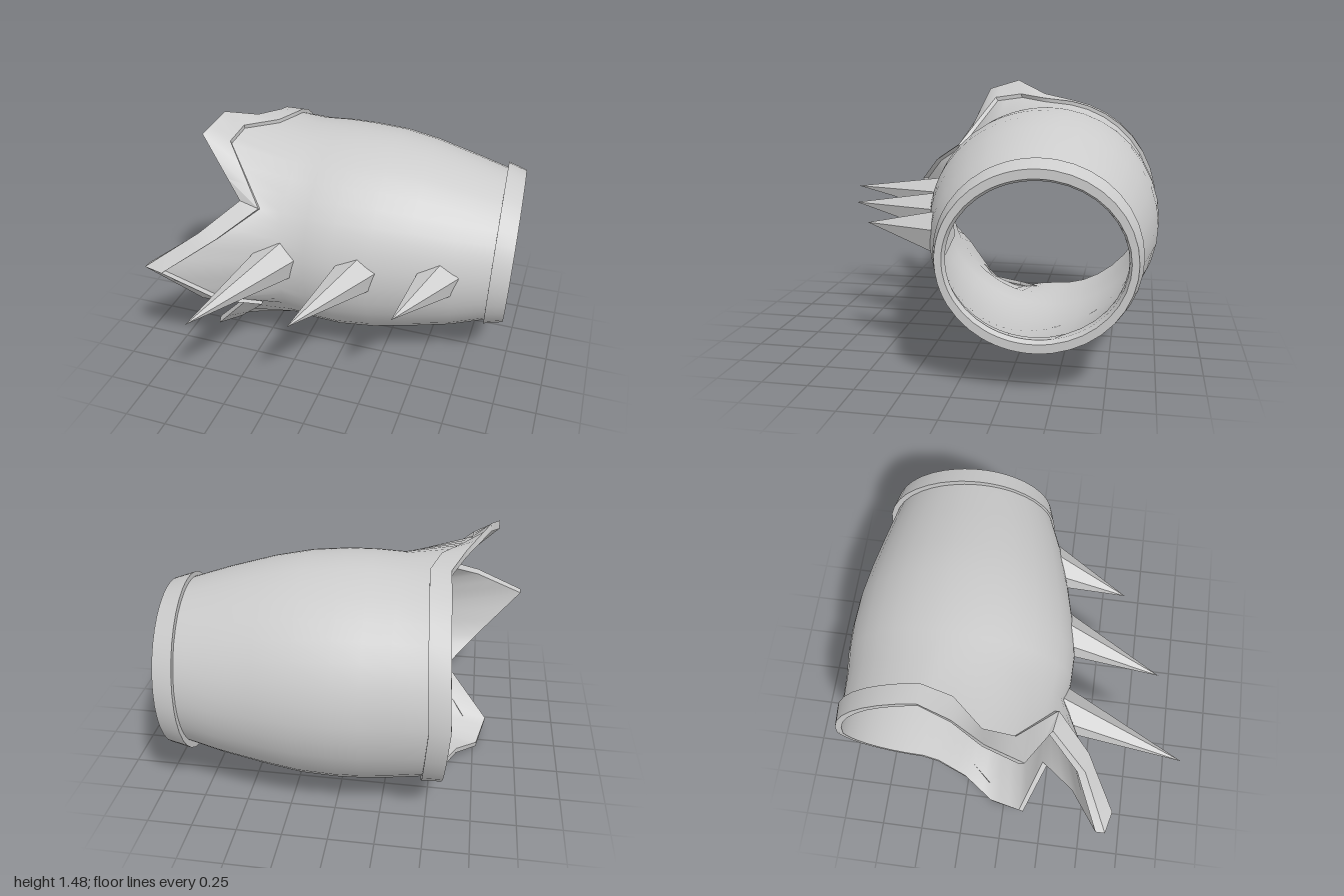
import * as THREE from 'three';
import { toCreasedNormals } from 'three/addons/utils/BufferGeometryUtils.js';

const CY = 0.735, CZ = -0.335;

// Skin between closed loops of points; loops advance along +x on outward faces.
function loft(rows, crease = 0.6) {
  const n = rows[0].length, pos = [], idx = [];
  rows.forEach(row => row.forEach(p => pos.push(p.x, p.y, p.z)));
  for (let r = 0; r < rows.length - 1; r++) {
    for (let i = 0; i < n; i++) {
      const a = r * n + i, b = r * n + (i + 1) % n, c = a + n, d = b + n;
      idx.push(a, c, b, b, c, d);
    }
  }
  const g = new THREE.BufferGeometry();
  g.setAttribute('position', new THREE.Float32BufferAttribute(pos, 3));
  g.setIndex(idx);
  return toCreasedNormals(g, crease);
}

// Jagged rim: front spike, valley, upper spike, then back arc; mirrored below.
function rimLoops() {
  const V = (x, y, z) => new THREE.Vector3(x, y, z);
  const half = [ // [open edge, band edge]
    [V(-0.99, 0.79, 0.60), V(-0.87, 0.79, 0.63)],
    [V(-0.71, 0.98, 0.45), V(-0.60, 0.965, 0.46)],
    [V(-0.54, 1.11, 0.25), V(-0.42, 1.09, 0.27)],
    [V(-0.80, 1.43, 0.13), V(-0.66, 1.38, 0.07)],
    [V(-0.75, 1.49, -0.07), V(-0.65, 1.405, -0.10)],
    [V(-0.63, 1.41, -0.26), V(-0.50, 1.39, -0.27)],
    [V(-0.56, 1.375, -0.45), V(-0.45, 1.375, -0.45)],
  ];
  const frontCount = half.length;
  for (let deg = 110; deg <= 180; deg += 10) {
    const a = deg * Math.PI / 180, t = (deg - 100) / 80;
    const y = CY + 0.01 + 0.64 * Math.sin(a), c = Math.cos(a);
    half.push([V(-0.56 - 0.055 * t, y, CZ + 0.642 * c), V(-0.45 - 0.055 * t, y, CZ + 0.65 * c)]);
  }
  const lower = half.slice(1, -1).reverse().map(pair =>
    pair.map(p => V(p.x - (p.z > -0.5 ? 0.02 : 0), 1.505 - p.y, p.z)));
  const all = [...half, ...lower], open = [], band = [];
  all.forEach((pair, i) => {
    const next = all[(i + 1) % all.length];
    const front = i < frontCount - 1 || i > all.length - frontCount;
    const steps = front ? 3 : 1;
    for (let k = 0; k < steps; k++) {
      open.push(pair[0].clone().lerp(next[0], k / steps));
      band.push(pair[1].clone().lerp(next[1], k / steps));
    }
  });
  return { open, band };
}

// Shrink a loop toward the barrel axis.
const inset = (loop, f) => loop.map(p =>
  new THREE.Vector3(p.x, CY + (p.y - CY) * f, CZ + (p.z - CZ) * f));

export function createModel() {
  const group = new THREE.Group();
  const grey = new THREE.MeshStandardMaterial({ color: 0xcccccc });
  grey.name = 'plain grey';
  const add = (name, geometry) => {
    const m = new THREE.Mesh(geometry, grey);
    m.name = name;
    group.add(m);
    return m;
  };

  const { open, band } = rimLoops();
  const angles = band.map(p => Math.atan2((p.y - CY) / 0.617, (p.z - CZ) / 0.645));

  // Elliptical section, leaning progressively toward the narrow end.
  const section = ([x, cy, cz, ry, rz], shrink = 0) => angles.map(a => {
    const t = THREE.MathUtils.clamp((x + 0.3) / 1.14, 0, 1);
    const dy = (ry - shrink) * Math.sin(a), dz = (rz - shrink) * Math.cos(a);
    return new THREE.Vector3(x + t * (0.03 * dy + 0.078 * dz), cy + dy, cz + dz);
  });
  const stations = [ // x, centre y, centre z, radius y, radius z
    [-0.3, 0.735, -0.33, 0.617, 0.645],
    [-0.15, 0.733, -0.333, 0.625, 0.66],
    [0, 0.73, -0.335, 0.625, 0.665],
    [0.2, 0.728, -0.348, 0.612, 0.645],
    [0.4, 0.725, -0.36, 0.576, 0.607],
    [0.65, 0.715, -0.375, 0.515, 0.55],
    [0.85, 0.712, -0.395, 0.455, 0.49],
  ];

  // Barrel wall, outside and inside
  const underBand = inset(band, 0.965), innerLip = inset(open, 0.945);
  add('barrelOuterWall', loft([underBand, ...stations.map(s => section(s))], 0.8));
  add('barrelInnerWall', loft([...stations.map(s => section(s, 0.035)).reverse(), innerLip], 0.8));

  // Raised band along the jagged rim
  add('jaggedRim', loft([innerLip, open, band, underBand], 0.5));

  // Collar around the narrow opening
  add('narrowCollar', loft([
    [0.84, 0.712, -0.4, 0.45, 0.485],
    [0.84, 0.71, -0.405, 0.49, 0.515],
    [0.95, 0.705, -0.41, 0.457, 0.487],
    [0.95, 0.705, -0.41, 0.41, 0.452],
    [0.92, 0.705, -0.41, 0.396, 0.44],
    [0.84, 0.712, -0.395, 0.42, 0.455],
  ].map(s => section(s))));

  // Row of six-sided spikes on the front
  const up = new THREE.Vector3(0, 1, 0);
  [
    [[-0.315, 0.777, 0.28], [-0.535, 0.78, 0.99]],
    [[0.16, 0.765, 0.23], [-0.04, 0.768, 0.83]],
    [[0.6, 0.752, 0.125], [0.45, 0.757, 0.59]],
  ].forEach(([base, tip], i) => {
    const a = new THREE.Vector3(...base), b = new THREE.Vector3(...tip);
    const dir = b.clone().sub(a), len = dir.length();
    const g = new THREE.ConeGeometry(0.128, len, 6, 1, false, Math.PI / 2).toNonIndexed();
    g.computeVertexNormals();
    const spike = add('spike' + (i + 1), g);
    spike.position.copy(a).add(b).multiplyScalar(0.5);
    spike.quaternion.setFromUnitVectors(up, dir.normalize());
  });

  return group;
}
